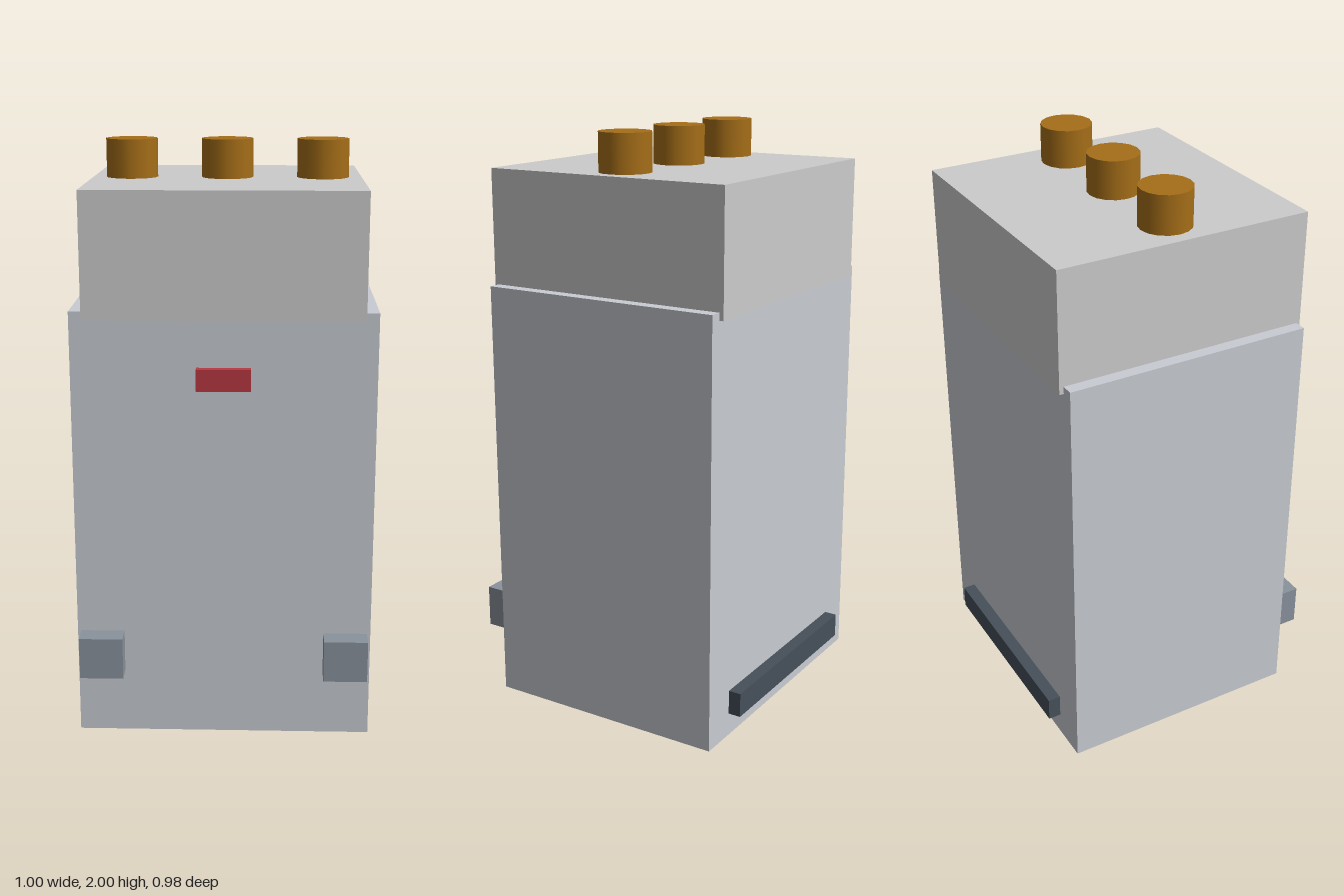
import * as THREE from 'three';

const paint = (color) => new THREE.MeshStandardMaterial({ color });

export function createModel() {
  const model = new THREE.Group();
  const bodyGrey = paint(0xc8ccd2);
  const headGrey = paint(0xd5d6d7);
  const blockGrey = paint(0x8a929c);
  const darkGrey = paint(0x46505a);
  const red = paint(0xb83840);
  const bronze = paint(0xa56e18);

  // Box given by its lower and upper corners
  function box(name, material, [x0, y0, z0], [x1, y1, z1]) {
    const mesh = new THREE.Mesh(new THREE.BoxGeometry(x1 - x0, y1 - y0, z1 - z0), material);
    mesh.position.set((x0 + x1) / 2, (y0 + y1) / 2, (z0 + z1) / 2);
    mesh.name = name;
    model.add(mesh);
  }

  // Main cabinet and the narrower, deeper head set into its top
  box('body', bodyGrey, [-0.5, 0, -0.445], [0.5, 1.482, 0.415]);
  box('head', headGrey, [-0.458, 1.457, -0.46], [0.458, 1.87, 0.428]);

  // Front plate and rear bar
  box('frontPlate', red, [-0.089, 1.227, 0.39], [0.089, 1.3, 0.443]);
  box('rearBar', darkGrey, [-0.37, 0.08, -0.489], [0.37, 0.165, -0.42]);

  // Mirrored blocks low on the front
  box('leftFrontBlock', blockGrey, [0.34, 0.227, 0.38], [0.488, 0.372, 0.487]);
  box('rightFrontBlock', blockGrey, [-0.488, 0.227, 0.38], [-0.34, 0.372, 0.487]);

  // Row of three round terminals on the head
  const terminal = new THREE.CylinderGeometry(0.088, 0.088, 0.16, 16);
  ['rightTerminal', 'middleTerminal', 'leftTerminal'].forEach((name, i) => {
    const mesh = new THREE.Mesh(terminal, bronze);
    mesh.position.set((i - 1) * 0.326, 1.92, -0.016);
    mesh.name = name;
    model.add(mesh);
  });

  return model;
}
